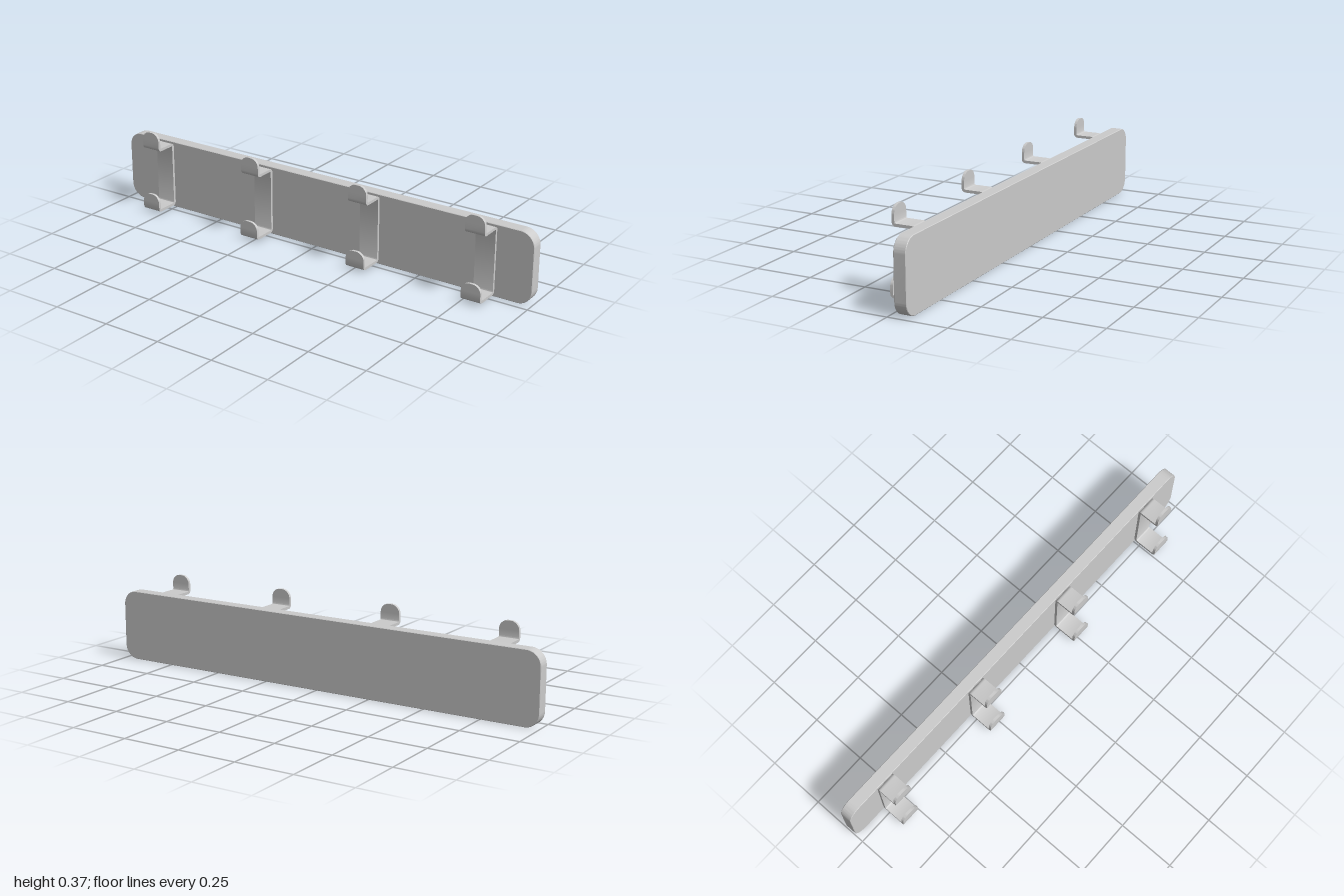
import * as THREE from 'three';
import { toCreasedNormals } from 'three/addons/utils/BufferGeometryUtils.js';

const material = new THREE.MeshStandardMaterial({ color: 0xcccccc });

// Flat backboard with rounded corners and a hairline bevel
function createBoard() {
  const b = 0.002, w = 1 - b, y0 = b, y1 = 0.305 - b, r = 0.06;
  const s = new THREE.Shape();
  s.absarc(w - r, y0 + r, r, -Math.PI / 2, 0);
  s.absarc(w - r, y1 - r, r, 0, Math.PI / 2);
  s.absarc(-w + r, y1 - r, r, Math.PI / 2, Math.PI);
  s.absarc(-w + r, y0 + r, r, Math.PI, Math.PI * 1.5);
  s.closePath();
  const geo = new THREE.ExtrudeGeometry(s, {
    depth: 0.052 - 2 * b, bevelSize: b, bevelThickness: b, bevelSegments: 1, curveSegments: 10,
  });
  geo.translate(0, 0, -0.083 + b);
  const board = new THREE.Mesh(toCreasedNormals(geo, 0.5), material);
  board.name = 'backboard';
  return board;
}

// Centre line of the bent strip as (z, y), with filleted bends and extra points near both tips
function hookPath(tipRadius, tipSteps) {
  const corners = [
    [0.0645, 0.369], [0.0645, 0.2945], [-0.0255, 0.2945],
    [-0.0255, 0.016], [0.077, 0.016], [0.077, 0.0875],
  ].map(([z, y]) => new THREE.Vector2(z, y));
  const toward = (a, b, d) => b.clone().sub(a).setLength(d).add(a);
  const tip = (end, next) => Array.from({ length: tipSteps + 1 }, (_, i) => {
    const a = (i / tipSteps) * Math.PI / 2;
    return { p: toward(end, next, tipRadius * (1 - Math.cos(a))), inset: tipRadius * (1 - Math.sin(a)) };
  });
  const points = tip(corners[0], corners[1]);
  for (let i = 1; i < corners.length - 1; i++) {
    const c = corners[i], fillet = 0.012;
    const bend = new THREE.QuadraticBezierCurve(
      toward(c, corners[i - 1], fillet), c, toward(c, corners[i + 1], fillet));
    for (const p of bend.getPoints(6)) points.push({ p, inset: 0 });
  }
  return points.concat(tip(corners[5], corners[4]).reverse());
}

// Rectangular section swept along the path, narrowing at the rounded tips
function createHookGeometry() {
  const halfWidth = 0.043, halfThick = 0.0058;
  const path = hookPath(0.036, 8);
  const positions = [], index = [];
  path.forEach(({ p, inset }, i) => {
    const prev = path[Math.max(i - 1, 0)].p, next = path[Math.min(i + 1, path.length - 1)].p;
    const t = next.clone().sub(prev).normalize();
    const h = halfWidth - inset;
    for (const [n, x] of [[1, 1], [-1, 1], [-1, -1], [1, -1]]) {
      positions.push(x * h, p.y - n * halfThick * t.x, p.x + n * halfThick * t.y);
    }
    if (i === path.length - 1) return;
    for (let k = 0; k < 4; k++) {
      const a = i * 4 + k, b = i * 4 + (k + 1) % 4;
      index.push(a, b, b + 4, a, b + 4, a + 4);
    }
  });
  const e = (path.length - 1) * 4;
  index.push(0, 2, 1, 0, 3, 2, e, e + 1, e + 2, e, e + 2, e + 3);
  const geo = new THREE.BufferGeometry();
  geo.setAttribute('position', new THREE.Float32BufferAttribute(positions, 3));
  geo.setIndex(index);
  return toCreasedNormals(geo, 0.6);
}

export function createModel() {
  const model = new THREE.Group();
  model.name = 'coatRack';
  model.add(createBoard());

  // Four evenly spaced double hooks
  const hookGeometry = createHookGeometry();
  for (let i = 0; i < 4; i++) {
    const hook = new THREE.Mesh(hookGeometry, material);
    hook.name = `doubleHook${i + 1}`;
    hook.position.x = (i - 1.5) * 0.531;
    model.add(hook);
  }
  return model;
}
